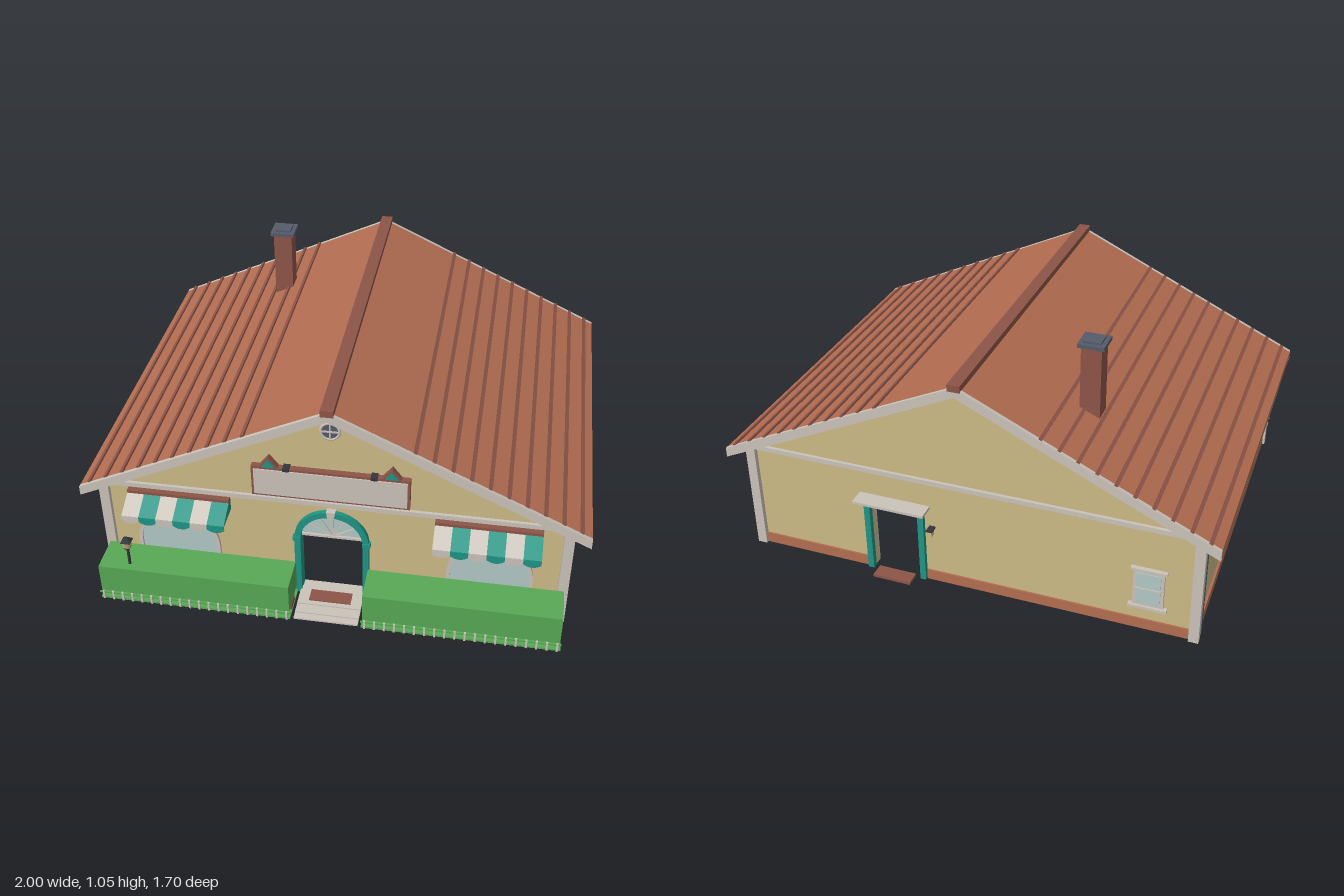
import * as THREE from 'three';

const mat = (name, color) => {
  const m = new THREE.MeshStandardMaterial({ color });
  m.name = name;
  return m;
};

export function createModel() {
  const house = new THREE.Group();
  house.name = 'house';
  const wall = mat('wallSand', 0xcdbb87), roof = mat('terracotta', 0xb36d51);
  const brick = mat('darkBrick', 0x8e5548), trim = mat('trimGrey', 0xcac3ba);
  const teal = mat('teal', 0x1f9584), glass = mat('glass', 0xb3c9c5);
  const green = mat('hedgeGreen', 0x58a855), slate = mat('slate', 0x555b69);
  const iron = mat('iron', 0x34353c);

  const add = (name, geo, m) => {
    const mesh = new THREE.Mesh(geo, m);
    mesh.name = name;
    house.add(mesh);
    return mesh;
  };
  // box given by its minimum and maximum on each axis
  const box = (name, m, x0, x1, y0, y1, z0, z1) => {
    const b = add(name, new THREE.BoxGeometry(x1 - x0, y1 - y0, z1 - z0), m);
    b.position.set((x0 + x1) / 2, (y0 + y1) / 2, (z0 + z1) / 2);
    return b;
  };
  const slab = (name, m, shape, z0, z1) => {
    const s = add(name, new THREE.ExtrudeGeometry(shape, { depth: z1 - z0, bevelEnabled: false, curveSegments: 20 }), m);
    s.position.z = z0;
    return s;
  };
  const poly = pts => new THREE.Shape(pts.map(p => new THREE.Vector2(p[0], p[1])));
  const arch = (cx, r, y0, spring) => {
    const s = new THREE.Shape();
    s.moveTo(cx - r, y0);
    s.lineTo(cx + r, y0);
    s.lineTo(cx + r, spring);
    s.absarc(cx, spring, r, 0, Math.PI, false);
    s.lineTo(cx - r, y0);
    return s;
  };

  // gable walls with open doorways, sand outside and grey lining inside
  const W = 0.92, pitch = 0.47, spring = 0.29;
  const gable = arched => {
    const s = new THREE.Shape();
    s.moveTo(-W, 0);
    if (arched) {
      s.lineTo(-0.13, 0);
      s.lineTo(-0.13, spring);
      s.absarc(0, spring, 0.13, Math.PI, 0, true);
      s.lineTo(0.13, 0);
    } else [[0.195, 0], [0.195, 0.315], [0.405, 0.315], [0.405, 0]].forEach(p => s.lineTo(...p));
    [[W, 0], [W, 0.92 - pitch * W], [0, 0.92], [-W, 0.92 - pitch * W]].forEach(p => s.lineTo(...p));
    return s;
  };
  slab('frontWall', wall, gable(true), 0.63, 0.665);
  slab('frontWallLining', trim, gable(true), 0.62, 0.63);
  slab('backWall', wall, gable(false), -0.78, -0.745);
  slab('backWallLining', trim, gable(false), -0.745, -0.735);

  // side walls, base course, corner boards, downspouts and side windows
  for (const s of [-1, 1]) {
    const side = (name, m, a, b, y0, y1, z0, z1) => box(name, m, Math.min(s * a, s * b), Math.max(s * a, s * b), y0, y1, z0, z1);
    side('sideWall', wall, 0.885, 0.92, 0, 0.483, -0.745, 0.63);
    side('sideWallLining', trim, 0.875, 0.885, 0, 0.483, -0.735, 0.62);
    side('sideBase', roof, 0.91, 0.93, 0, 0.045, -0.78, 0.66);
    side('frontBase', roof, 0.15, 0.925, 0, 0.045, 0.655, 0.675);
    side('cornerBoard', trim, 0.9, 0.94, 0, 0.475, 0.655, 0.685);
    side('cornerBoard', trim, 0.9, 0.94, 0, 0.475, -0.8, -0.77);
    side('downspout', slate, 0.918, 0.938, 0, 0.46, -0.745, -0.725);
    side('sideWindowFrame', trim, 0.87, 0.928, 0.155, 0.295, 0.235, 0.37);
    side('sideWindowGlass', glass, 0.867, 0.931, 0.168, 0.28, 0.248, 0.357);
    side('sideWindowSill', trim, 0.92, 0.938, 0.147, 0.158, 0.228, 0.377);
    for (const z of [0.19, 0.372]) {
      side('shutter', teal, 0.915, 0.93, 0.155, 0.285, z, z + 0.045);
      for (const y of [0.185, 0.22, 0.255]) side('shutterSlat', trim, 0.925, 0.933, y - 0.003, y + 0.003, z + 0.005, z + 0.04);
    }
  }
  box('backBase', roof, -0.92, 0.17, 0, 0.045, -0.787, -0.775);
  box('backBase', roof, 0.43, 0.92, 0, 0.045, -0.787, -0.775);
  box('frontBand', trim, -0.92, 0.92, 0.464, 0.484, 0.655, 0.678);
  box('backBand', trim, -0.92, 0.92, 0.464, 0.484, -0.793, -0.775);

  // roof slab, rake boards, fascias, ridge and battens
  const chevron = (t, b) => poly([[-1, t - pitch], [-1, b - pitch], [0, b], [1, b - pitch], [1, t - pitch], [0, t]]);
  slab('roof', roof, chevron(0.95, 0.92), -0.835, 0.72);
  slab('frontRake', trim, chevron(0.951, 0.91), 0.715, 0.73);
  slab('backRake', trim, chevron(0.951, 0.91), -0.845, -0.83);
  box('ridgeCap', brick, -0.025, 0.025, 0.935, 0.963, -0.848, 0.732);
  for (const s of [-1, 1]) {
    box('fascia', trim, s * 0.993 - 0.007, s * 0.993 + 0.007, 0.447, 0.479, -0.842, 0.728);
    for (let i = 0; i < 10; i++) {
      const x = 0.325 + i * 0.0705;
      const b = box('roofBatten', brick, -0.007, 0.007, -0.005, 0.005, -0.84, 0.718);
      b.position.x = s * x;
      b.position.y = 0.953 - pitch * x;
      b.rotation.z = -s * Math.atan(pitch);
    }
  }

  // chimney
  box('chimney', brick, -0.455, -0.375, 0.7, 1.03, -0.535, -0.455);
  box('chimneyCap', slate, -0.467, -0.363, 1.028, 1.043, -0.547, -0.443);
  box('chimneyTop', slate, -0.45, -0.38, 1.043, 1.051, -0.53, -0.46);

  // arched front doorway with fanlight
  const frame = new THREE.Shape();
  frame.moveTo(-0.15, 0);
  frame.lineTo(-0.15, spring);
  frame.absarc(0, spring, 0.15, Math.PI, 0, true);
  frame.lineTo(0.15, 0);
  frame.lineTo(0.125, 0);
  frame.lineTo(0.125, spring);
  frame.absarc(0, spring, 0.125, 0, Math.PI, false);
  frame.lineTo(-0.125, 0);
  slab('doorFrame', teal, frame, 0.625, 0.685);
  slab('fanlight', glass, arch(0, 0.126, spring, spring + 0.001), 0.64, 0.646);
  box('transom', trim, -0.125, 0.125, spring - 0.005, spring + 0.005, 0.635, 0.655);
  for (let i = 1; i < 6; i++) {
    const a = i * Math.PI / 6;
    const bar = box('fanlightBar', trim, -0.062, 0.062, -0.0025, 0.0025, 0.643, 0.651);
    bar.position.x = 0.062 * Math.cos(a);
    bar.position.y = spring + 0.062 * Math.sin(a);
    bar.rotation.z = a;
  }
  for (const s of [-1, 1]) box('impost', teal, s * 0.14 - 0.016, s * 0.14 + 0.016, 0.282, 0.3, 0.66, 0.69);
  slab('keystone', trim, poly([[-0.012, 0.412], [0.012, 0.412], [0.018, 0.448], [-0.018, 0.448]]), 0.66, 0.692);
  box('lowerStep', trim, -0.13, 0.13, 0, 0.007, 0.62, 0.84);
  box('middleStep', trim, -0.13, 0.13, 0.007, 0.012, 0.66, 0.81);
  box('upperStep', trim, -0.13, 0.13, 0.012, 0.017, 0.66, 0.765);
  box('doormat', brick, -0.085, 0.085, 0.017, 0.021, 0.685, 0.745);

  // front windows and striped awnings
  for (const cx of [-0.63, 0.63]) {
    const ring = arch(cx, 0.17, 0.1, 0.195);
    ring.holes.push(arch(cx, 0.156, 0.114, 0.195));
    slab('windowFrame', trim, ring, 0.615, 0.678);
    slab('windowGlass', glass, arch(cx, 0.158, 0.112, 0.195), 0.617, 0.669);
    box('windowKeystone', teal, cx - 0.012, cx + 0.012, 0.35, 0.375, 0.66, 0.685);
    const x0 = cx < 0 ? -0.82 : 0.407, w = 0.069;
    box('awningRail', brick, x0, x0 + 6 * w, 0.443, 0.456, 0.66, 0.692);
    for (let i = 0; i < 6; i++) {
      const m = i % 2 ? teal : trim;
      const stripe = slab('awningStripe', m, poly([[0.665, 0.393], [0.78, 0.393], [0.78, 0.398], [0.685, 0.445], [0.665, 0.445]]), 0, w);
      stripe.rotation.y = -Math.PI / 2;
      stripe.position.x = x0 + (i + 1) * w;
      const flap = new THREE.Shape();
      flap.moveTo(0, 0.396);
      flap.lineTo(0, 0.375);
      flap.quadraticCurveTo(w / 2, 0.348, w, 0.375);
      flap.lineTo(w, 0.396);
      slab('awningValance', m, flap, 0.776, 0.781).position.x = x0 + i * w;
    }
  }

  // blank sign board with small peaked ornaments
  box('signFrame', brick, -0.308, 0.308, 0.503, 0.642, 0.66, 0.69);
  box('signPanel', trim, -0.298, 0.298, 0.513, 0.632, 0.685, 0.695);
  for (const s of [-1, 1]) {
    const x = s * 0.238;
    slab('signPeak', brick, poly([[x - 0.038, 0.64], [x + 0.038, 0.64], [x, 0.69]]), 0.66, 0.69);
    slab('signPeakFace', teal, poly([[x - 0.026, 0.645], [x + 0.026, 0.645], [x, 0.679]]), 0.688, 0.695);
    box('signBracket', iron, s * 0.17 - 0.013, s * 0.17 + 0.013, 0.636, 0.649, 0.66, 0.7);
  }

  // round gable window
  const disc = add('gableWindowGlass', new THREE.CylinderGeometry(0.036, 0.036, 0.01, 24), slate);
  disc.rotation.x = Math.PI / 2;
  disc.position.set(0, 0.828, 0.667);
  add('gableWindowRing', new THREE.TorusGeometry(0.036, 0.006, 8, 28), trim).position.set(0, 0.828, 0.669);
  box('gableWindowBar', trim, -0.034, 0.034, 0.825, 0.831, 0.668, 0.676);
  box('gableWindowBar', trim, -0.003, 0.003, 0.794, 0.862, 0.668, 0.676);

  // hedges on lawn strips with a low edging fence
  for (const s of [-1, 1]) {
    const a = Math.min(s * 0.147, s * 0.925), b = a + 0.778;
    box('lawn', green, a - 0.004, b + 0.004, 0, 0.008, 0.675, 0.845);
    box('hedge', green, a, b, 0.036, 0.165, 0.685, 0.838);
    box('fenceRail', green, a - 0.006, b + 0.006, 0.03, 0.037, 0.842, 0.848);
    for (let i = 0; i < 20; i++) {
      const x = a + 0.01 + i * 0.0399;
      box('fencePicket', trim, x - 0.004, x + 0.004, 0, 0.042, 0.843, 0.85);
      if (i % 2) box('hedgeTrunk', brick, x - 0.012, x + 0.012, 0.005, 0.038, 0.74, 0.8);
    }
  }

  // garden lamp
  const lamp = (name, m, r0, r1, h, y, n) => {
    const p = add(name, new THREE.CylinderGeometry(r0, r1, h, n), m);
    p.position.set(-0.805, y, 0.8);
    p.rotation.y = Math.PI / 4;
  };
  lamp('lampPost', iron, 0.006, 0.007, 0.25, 0.125, 8);
  lamp('lampTray', iron, 0.018, 0.012, 0.008, 0.249, 4);
  lamp('lampGlass', wall, 0.022, 0.016, 0.033, 0.269, 4);
  lamp('lampRoof', iron, 0.004, 0.029, 0.02, 0.295, 4);

  // back door surround, canopy, step and wall lamp
  for (const x of [0.172, 0.403]) {
    box('backDoorJamb', teal, x, x + 0.025, 0, 0.34, -0.798, -0.775);
    const brace = box('canopyBrace', iron, -0.004, 0.004, -0.004, 0.004, -0.03, 0.03);
    brace.position.set(x + 0.012, 0.332, -0.815);
    brace.rotation.x = 0.6;
  }
  box('backDoorHead', teal, 0.172, 0.428, 0.315, 0.34, -0.798, -0.775);
  box('backCanopy', trim, 0.148, 0.448, 0.345, 0.356, -0.85, -0.775);
  box('backStep', brick, 0.22, 0.38, 0, 0.012, -0.85, -0.79);
  box('wallLamp', wall, 0.13, 0.15, 0.235, 0.258, -0.815, -0.79);
  box('wallLampCap', iron, 0.127, 0.153, 0.258, 0.264, -0.818, -0.775);

  // back window
  box('backWindowFrame', trim, -0.795, -0.675, 0.115, 0.28, -0.79, -0.73);
  box('backWindowGlass', glass, -0.782, -0.688, 0.128, 0.267, -0.793, -0.727);
  box('backWindowBar', trim, -0.785, -0.685, 0.194, 0.201, -0.797, -0.78);
  box('backWindowSill', trim, -0.81, -0.66, 0.105, 0.117, -0.8, -0.775);
  box('backWindowHead', trim, -0.805, -0.665, 0.279, 0.289, -0.798, -0.775);

  return house;
}
